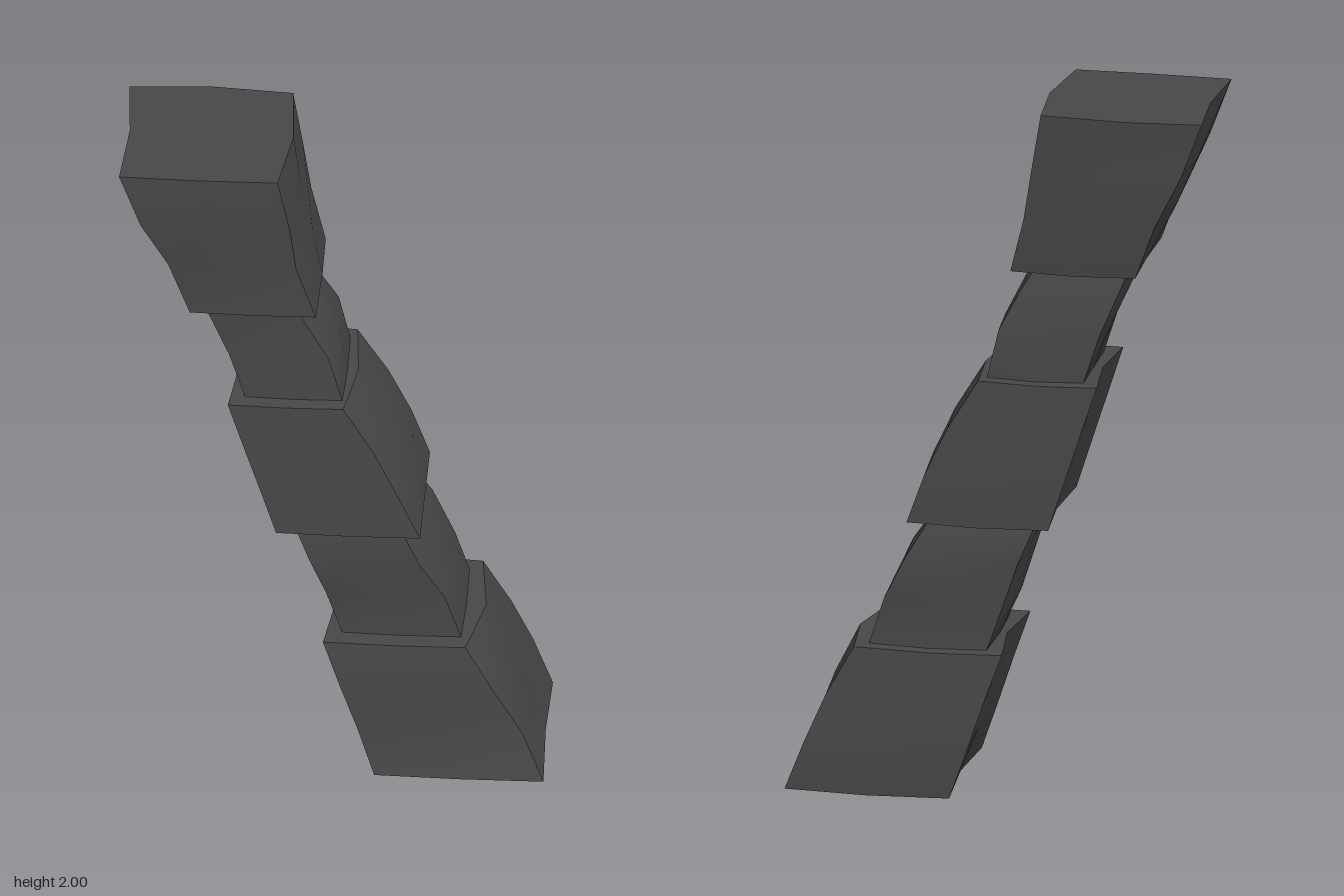
import * as THREE from 'three';
import { toCreasedNormals } from 'three/addons/utils/BufferGeometryUtils.js';

// Cross-sections of each block, bottom to top:
// [y, left corner x, left middle x, right corner x, right middle x, front z, back z]
const blocks = {
  baseBlock: [
    [0, 0.12, 0.14, 0.59, 0.58, 0.245, -0.222],
    [0.14, 0.07, 0.08, 0.53, 0.53, 0.215, -0.23],
    [0.28, 0.025, 0.04, 0.455, 0.485, 0.225, -0.215],
    [0.42, -0.025, 0, 0.37, 0.415, 0.205, -0.205],
  ],
  lowerNeck: [
    [0.42, 0.025, 0.02, 0.355, 0.36, 0.155, -0.165],
    [0.55, -0.02, -0.04, 0.31, 0.325, 0.15, -0.158],
    [0.68, -0.065, -0.065, 0.24, 0.265, 0.178, -0.178],
    [0.79, -0.11, -0.1, 0.185, 0.19, 0.16, -0.145],
  ],
  middleBlock: [
    [0.79, -0.155, -0.14, 0.245, 0.245, 0.207, -0.2],
    [0.93, -0.2, -0.185, 0.18, 0.21, 0.2, -0.2],
    [1.07, -0.245, -0.23, 0.115, 0.145, 0.197, -0.195],
    [1.21, -0.29, -0.27, 0.03, 0.06, 0.19, -0.188],
  ],
  upperNeck: [
    [1.21, -0.245, -0.245, 0.025, 0.03, 0.148, -0.15],
    [1.35, -0.29, -0.3, -0.015, 0.005, 0.143, -0.147],
    [1.47, -0.34, -0.355, -0.08, -0.055, 0.143, -0.12],
    [1.53, -0.365, -0.37, -0.11, -0.1, 0.147, -0.105],
  ],
  topBlock: [
    [1.53, -0.395, -0.39, -0.045, -0.04, 0.2, -0.17],
    [1.69, -0.455, -0.475, -0.1, -0.068, 0.198, -0.19],
    [1.84, -0.53, -0.54, -0.115, -0.1, 0.225, -0.195],
    [2, -0.59, -0.575, -0.15, -0.12, 0.22, -0.205],
  ],
};

// Eight points: four corners and four slightly bowed side middles
function ring([y, xl, xlm, xr, xrm, zf, zb]) {
  const xc = (xl + xr) / 2;
  const xrb = (xr + xrm) / 2;
  return [
    [xl, y, zf], [xc, y, zf + 0.004], [xr, y, zf], [xrm, y, 0],
    [xrb, y, zb], [xc, y, zb - 0.016], [xl, y, zb], [xlm, y, 0],
  ];
}

// Skin between successive rings, with sharp corners kept
function loft(rings) {
  const n = rings[0].length;
  const index = [];
  for (let r = 0; r < rings.length - 1; r++) {
    for (let i = 0; i < n; i++) {
      const a = r * n + i, b = r * n + (i + 1) % n;
      index.push(a, b, b + n, a, b + n, a + n);
    }
  }
  const g = new THREE.BufferGeometry();
  g.setAttribute('position', new THREE.Float32BufferAttribute(rings.flat(2), 3));
  g.setIndex(index);
  return toCreasedNormals(g, 0.6);
}

export function createModel() {
  const group = new THREE.Group();
  group.name = 'leaningColumn';
  const charcoal = new THREE.MeshStandardMaterial({ color: 0x484848, side: THREE.DoubleSide });
  charcoal.name = 'charcoal';

  const add = (name, rings) => {
    const mesh = new THREE.Mesh(loft(rings), charcoal);
    mesh.name = name;
    group.add(mesh);
  };

  // Blocks, and the flat ledge where each meets the next; the foot is open
  let last = null;
  for (const [name, rows] of Object.entries(blocks)) {
    const rings = rows.map(ring);
    if (last) add(name + 'Ledge', [last, rings[0]]);
    add(name, rings);
    last = rings[rings.length - 1];
  }

  // Flat cap closing the top
  add('topCap', [last, last.map(() => [-0.36, 2, 0])]);
  return group;
}
